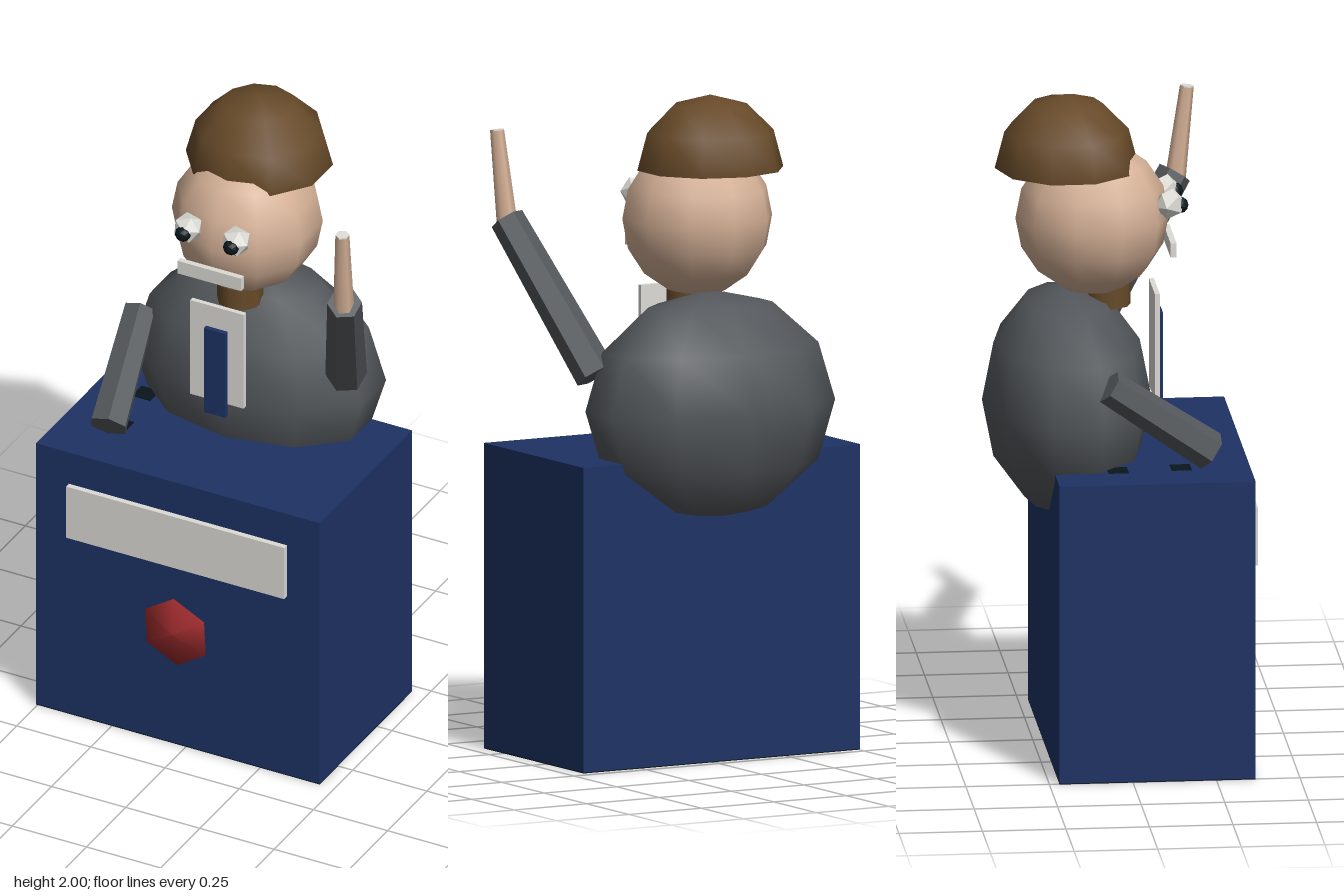
import * as THREE from 'three';

export function createModel() {
  const model = new THREE.Group();
  const mat = (name, color, flat = false) => {
    const m = new THREE.MeshStandardMaterial({ color });
    m.name = name;
    m.flatShading = flat;
    return m;
  };
  const blue = mat('navyBlue', 0x1d3264);
  const white = mat('offWhite', 0xdcdbd6, true);
  const suit = mat('suitGrey', 0x53575b);
  const sleeve = mat('sleeveGrey', 0x53575b, true);
  const skin = mat('skin', 0xd4b096);
  const hairBrown = mat('hairBrown', 0x674a29);
  hairBrown.side = THREE.DoubleSide;
  const red = mat('red', 0x9c2b2d);
  const black = mat('black', 0x0a161c, true);

  const CX = -0.027; // the body and lectern share this centre line

  const add = (name, geometry, material, x = 0, y = 0, z = 0) => {
    const mesh = new THREE.Mesh(geometry, material);
    mesh.name = name;
    mesh.position.set(x, y, z);
    model.add(mesh);
    return mesh;
  };
  const box = (name, material, w, h, d, x, y, z) =>
    add(name, new THREE.BoxGeometry(w, h, d), material, x, y, z);
  // Ten-sided ellipsoid with a corner pointing straight forward
  const ball = (name, material, r, x, y, z, rings, arc = Math.PI) => {
    const g = new THREE.SphereGeometry(1, 10, rings, Math.PI / 2, Math.PI * 2, 0, arc);
    g.scale(...r);
    return add(name, g, material, x, y, z);
  };
  // Six-sided tapered limb between two points
  const limb = (name, material, from, to, r0, r1) => {
    const a = new THREE.Vector3(...from), b = new THREE.Vector3(...to);
    const dir = b.clone().sub(a);
    const mesh = add(name, new THREE.CylinderGeometry(r1, r0, dir.length(), 6), material);
    mesh.position.copy(a).add(b).multiplyScalar(0.5);
    mesh.quaternion.setFromUnitVectors(new THREE.Vector3(0, 1, 0), dir.normalize());
    return mesh;
  };

  // Lectern with its dark underside, sign and emblem
  box('lectern', blue, 0.955, 0.917, 0.587, CX, 0.4615, 0.0735);
  box('lecternBase', black, 0.955, 0.003, 0.587, CX, 0.0015, 0.0735);
  box('lecternSign', white, 0.735, 0.18, 0.02, CX, 0.72, 0.375);
  const lens = [[0, -0.02], [0.115, 0], [0, 0.02]];
  const emblem = add('lecternEmblem',
    new THREE.LatheGeometry(lens.map(p => new THREE.Vector2(...p)), 6), red, CX, 0.405, 0.383);
  emblem.rotation.set(Math.PI / 2, 0.05, 0);

  // Dark marks on the lectern top, below the lowered arm
  box('topMarkFront', black, 0.06, 0.004, 0.06, -0.33, 0.921, 0.16);
  box('topMarkRear', black, 0.06, 0.004, 0.06, -0.345, 0.921, -0.03);

  // Torso, neck and head
  ball('torso', suit, [0.405, 0.35, 0.253], CX, 1.064, -0.152, 6);
  add('neck', new THREE.CylinderGeometry(0.07, 0.07, 0.07, 10), hairBrown, CX, 1.385, -0.03);
  ball('head', skin, [0.228, 0.235, 0.23], CX, 1.622, -0.075, 8);
  ball('hair', hairBrown, [0.224, 0.222, 0.215], CX, 1.778, -0.152, 3, Math.PI / 2);

  // Shirt front and tie
  box('shirtFront', white, 0.18, 0.33, 0.015, CX, 1.235, 0.111);
  box('tie', blue, 0.072, 0.295, 0.016, CX, 1.178, 0.126);

  // Face
  for (const s of [-1, 1]) {
    const side = s > 0 ? 'left' : 'right';
    const x = CX + s * 0.081;
    const eye = add(side + 'Eye', new THREE.IcosahedronGeometry(0.047), white, x, 1.675, 0.15);
    eye.rotation.set(0.35, 0.3, 0.2);
    add(side + 'Pupil', new THREE.IcosahedronGeometry(0.025, 1), black, x, 1.671, 0.18);
  }
  box('mouth', white, 0.215, 0.044, 0.018, CX, 1.538, 0.158);

  // Lowered right arm, raised left arm with a pointing hand
  limb('rightArm', sleeve, [-0.38, 1.19, -0.06], [-0.323, 0.968, 0.25], 0.052, 0.06);
  limb('leftArm', sleeve, [0.314, 1.168, -0.06], [0.457, 1.615, 0.22], 0.062, 0.052);
  limb('pointingHand', skin, [0.455, 1.6, 0.222], [0.469, 1.876, 0.257], 0.031, 0.021);
  limb('fingertip', white, [0.469, 1.876, 0.257], [0.4692, 1.88, 0.2575], 0.021, 0.021);

  return model;
}
